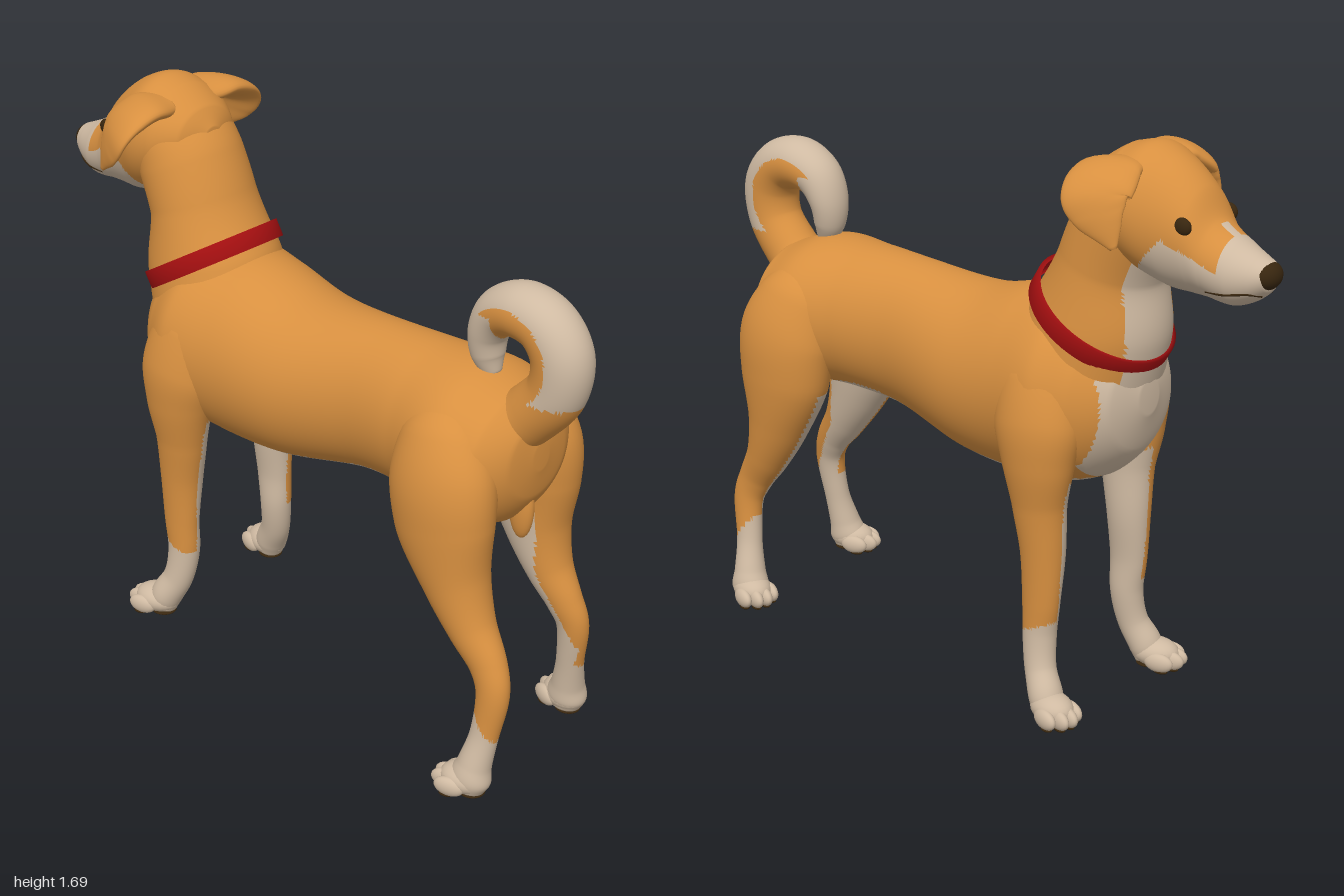
import * as THREE from 'three';

const mat = (name, color) => {
  const m = new THREE.MeshStandardMaterial({ color });
  m.name = name;
  return m;
};
const SIDEWAYS = new THREE.Vector3(1, 0, 0);
const FORWARD = new THREE.Vector3(0, 0, -1);

// Smooth closed body through elliptical sections [x, y, z, halfWidth, halfDepth].
// isSecond(point) picks the faces that take the second material; ref is the width direction;
// axis, if given, keeps every section square to it instead of to the path.
function loft(name, sections, materials, { isSecond, rings = 90, sides = 56, ref = SIDEWAYS, axis } = {}) {
  const path = new THREE.CatmullRomCurve3(sections.map(s => new THREE.Vector3(s[0], s[1], s[2])));
  const radii = new THREE.CatmullRomCurve3(sections.map(s => new THREE.Vector3(s[3], s[4], 0)));
  const pos = [];
  for (let i = 0; i <= rings; i++) {
    const t = i / rings;
    const c = path.getPoint(t), r = radii.getPoint(t), T = axis || path.getTangent(t);
    const U = ref.clone().addScaledVector(T, -ref.dot(T)).normalize();
    const V = T.clone().cross(U);
    for (let j = 0; j < sides; j++) {
      const a = (j / sides) * Math.PI * 2;
      const p = c.clone()
        .addScaledVector(U, Math.max(r.x, 0.002) * Math.cos(a))
        .addScaledVector(V, Math.max(r.y, 0.002) * Math.sin(a));
      pos.push(p.x, p.y, p.z);
    }
  }
  const first = path.getPoint(0), last = path.getPoint(1);
  pos.push(first.x, first.y, first.z, last.x, last.y, last.z);
  const startPole = (rings + 1) * sides, endPole = startPole + 1;
  const lists = [[], []];
  const face = (...ids) => {
    const p = new THREE.Vector3();
    for (const k of ids) p.add(new THREE.Vector3(pos[k * 3], pos[k * 3 + 1], pos[k * 3 + 2]));
    p.divideScalar(3);
    lists[isSecond && isSecond(p) ? 1 : 0].push(...ids);
  };
  for (let j = 0; j < sides; j++) {
    const k = (j + 1) % sides;
    face(startPole, k, j);
    for (let i = 0; i < rings; i++) {
      const a = i * sides + j, b = i * sides + k;
      face(a, b, a + sides);
      face(b, b + sides, a + sides);
    }
    face(endPole, rings * sides + j, rings * sides + k);
  }
  const geo = new THREE.BufferGeometry();
  geo.setAttribute('position', new THREE.Float32BufferAttribute(pos, 3));
  geo.setIndex([...lists[0], ...lists[1]]);
  geo.addGroup(0, lists[0].length, 0);
  geo.addGroup(lists[0].length, lists[1].length, 1);
  geo.computeVertexNormals();
  const mesh = new THREE.Mesh(geo, materials);
  mesh.name = name;
  return mesh;
}

function ellipsoid(name, material, x, y, z, rx, ry, rz) {
  const mesh = new THREE.Mesh(new THREE.SphereGeometry(1, 24, 16), material);
  mesh.name = name;
  mesh.position.set(x, y, z);
  mesh.scale.set(rx, ry, rz);
  return mesh;
}

export function createModel() {
  const tan = mat('tanFur', 0xd89040);
  const cream = mat('creamFur', 0xcfbaa2);
  const red = mat('collarRed', 0xa30f10);
  const dark = mat('darkBrown', 0x38260f);
  const fur = [tan, cream];
  const dog = new THREE.Group();
  dog.name = 'dog';

  // Torso with pale belly and chest
  dog.add(loft('torso', [
    [0, 0.98, 0.86, 0.03, 0.04], [0, 0.97, 0.845, 0.12, 0.12], [0, 0.955, 0.78, 0.215, 0.195],
    [0, 0.965, 0.65, 0.25, 0.225], [0, 0.965, 0.48, 0.205, 0.225], [0, 0.955, 0.3, 0.186, 0.228],
    [0, 0.915, 0, 0.237, 0.255], [0, 0.93, -0.2, 0.255, 0.285], [0, 0.945, -0.35, 0.275, 0.285],
    [0, 0.94, -0.47, 0.225, 0.235], [0, 0.945, -0.555, 0.14, 0.15], [0, 0.96, -0.588, 0.04, 0.05],
  ], fur, {
    isSecond: p => (p.z < 0.6 && p.y < 0.7 + 0.085 * Math.exp(-(((p.z - 0.42) / 0.25) ** 2)))
      || (p.z < -0.46 && Math.abs(p.x) < 0.16),
    rings: 120, sides: 72, axis: FORWARD,
  }));

  // Neck with pale throat
  dog.add(loft('neck', [
    [0, 0.86, -0.34, 0.18, 0.16], [0, 1.0, -0.365, 0.215, 0.215], [0, 1.165, -0.415, 0.195, 0.205],
    [0, 1.33, -0.455, 0.167, 0.152], [0, 1.45, -0.505, 0.163, 0.15], [0, 1.54, -0.55, 0.154, 0.125],
    [0, 1.61, -0.58, 0.1, 0.07],
  ], fur, { isSecond: p => p.z < -0.45 && Math.abs(p.x) < 0.105, rings: 80, sides: 72 }));

  // Head and muzzle
  dog.add(loft('head', [
    [0, 1.54, -0.405, 0.03, 0.03], [0, 1.535, -0.44, 0.11, 0.09], [0, 1.52, -0.52, 0.16, 0.155],
    [0, 1.51, -0.6, 0.168, 0.18], [0, 1.48, -0.68, 0.142, 0.178], [0, 1.445, -0.76, 0.118, 0.147],
    [0, 1.405, -0.81, 0.104, 0.108], [0, 1.38, -0.88, 0.09, 0.09], [0, 1.378, -0.94, 0.066, 0.063],
    [0, 1.385, -0.975, 0.045, 0.04], [0, 1.39, -0.985, 0.01, 0.01],
  ], fur, {
    isSecond: p => p.z < -0.865 || p.y < Math.min(1.3 - (p.z + 0.56) * 1.1, 1.46 + (p.z + 0.71) * 0.45)
      || (Math.abs(p.x) < 0.016 && p.z < -0.82),
    rings: 130, sides: 80, axis: FORWARD,
  }));
  dog.add(ellipsoid('nose', dark, 0, 1.388, -0.96, 0.05, 0.04, 0.04));

  // Collar band around the neck
  const band = new THREE.Mesh(new THREE.LatheGeometry([
    new THREE.Vector2(0.94, -0.027), new THREE.Vector2(1, -0.027),
    new THREE.Vector2(1, 0.027), new THREE.Vector2(0.94, 0.027),
  ], 64), red);
  red.side = THREE.DoubleSide;
  band.name = 'collar';
  band.scale.set(0.206, 1, 0.22);
  band.position.set(0, 1.165, -0.415);
  band.rotation.x = -0.556;
  dog.add(band);

  // Curled tail, pale on the outside and at the tip
  dog.add(loft('tail', [
    [0, 1.03, 0.74, 0.1, 0.09], [0, 1.11, 0.83, 0.085, 0.085], [0, 1.2, 0.9, 0.08, 0.085],
    [0, 1.3, 0.91, 0.082, 0.088], [0, 1.37, 0.86, 0.084, 0.083], [0, 1.39, 0.78, 0.084, 0.08],
    [0, 1.36, 0.7, 0.075, 0.068], [0, 1.29, 0.66, 0.065, 0.054], [0, 1.22, 0.66, 0.05, 0.046],
    [0, 1.17, 0.68, 0.025, 0.025], [0, 1.155, 0.69, 0.004, 0.004],
  ], fur, {
    isSecond: p => (p.y > 1.17 && Math.hypot(p.y - 1.28, p.z - 0.78) > 0.135) || (p.z < 0.72 && p.y < 1.37),
  }));

  dog.add(ellipsoid('underTail', tan, 0, 0.8, 0.8, 0.026, 0.1, 0.04));

  // Paw with four toes and dark pads, toes toward -z
  const paw = (name, x, z, turn) => {
    const g = new THREE.Group();
    g.name = name;
    g.position.set(x, 0, z);
    g.rotation.y = turn;
    g.add(ellipsoid('foot', cream, 0, 0.046, -0.01, 0.057, 0.044, 0.075));
    g.add(ellipsoid('heelPad', dark, 0, 0.006, 0.01, 0.038, 0.007, 0.04));
    for (let i = 0; i < 4; i++) {
      const dx = (i - 1.5) * 0.031, back = Math.abs(i - 1.5) > 1 ? 0.022 : 0;
      g.add(ellipsoid('toe', cream, dx, 0.033, -0.062 + back, 0.02, 0.03, 0.046));
      g.add(ellipsoid('toePad', dark, dx, 0.006, -0.07 + back, 0.014, 0.006, 0.022));
    }
    return g;
  };

  for (const s of [1, -1]) {
    const side = s > 0 ? 'left' : 'right';
    const put = list => list.map(([x, ...rest]) => [s * x, ...rest]);

    // Front leg, pale on the inside and below
    dog.add(loft(side + 'FrontLeg', put([
      [0.11, 1.12, -0.3, 0.05, 0.08], [0.16, 1.0, -0.33, 0.105, 0.13], [0.193, 0.88, -0.35, 0.105, 0.138],
      [0.205, 0.77, -0.358, 0.088, 0.115], [0.2, 0.64, -0.36, 0.07, 0.085], [0.195, 0.5, -0.37, 0.06, 0.07],
      [0.2, 0.35, -0.37, 0.047, 0.06], [0.2, 0.24, -0.365, 0.046, 0.052], [0.213, 0.14, -0.38, 0.044, 0.048],
      [0.23, 0.07, -0.415, 0.051, 0.05], [0.235, 0.03, -0.43, 0.045, 0.045],
    ]), fur, {
      isSecond: p => p.y < 0.27 - (p.z + 0.37) * 0.4 || (p.y < 0.72 && s * p.x < 0.195)
        || (p.y < 0.82 && s * p.x < 0.16),
      sides: 44,
    }));
    dog.add(paw(side + 'FrontPaw', s * 0.238, -0.438, -s * 0.25));

    // Hind leg, the right one set slightly further back
    const shift = y => (s < 0 ? 0.06 * THREE.MathUtils.clamp((0.85 - y) / 0.45, 0, 1) : 0);
    dog.add(loft(side + 'HindLeg', put([
      [0.09, 1.12, 0.63, 0.05, 0.07], [0.14, 1.02, 0.645, 0.11, 0.14], [0.18, 0.9, 0.67, 0.118, 0.168],
      [0.19, 0.77, 0.678, 0.109, 0.158], [0.192, 0.62, 0.708, 0.089, 0.105], [0.195, 0.5, 0.755, 0.069, 0.072],
      [0.2, 0.41, 0.81, 0.05, 0.058], [0.21, 0.34, 0.838, 0.042, 0.052], [0.225, 0.2, 0.828, 0.038, 0.043],
      [0.243, 0.1, 0.812, 0.048, 0.05], [0.25, 0.055, 0.805, 0.054, 0.062], [0.252, 0.02, 0.8, 0.045, 0.05],
    ]).map(([x, y, z, a, b]) => [x, y, z + shift(y), a, b]), fur, {
      isSecond: p => {
        const z = p.z - shift(p.y);
        return p.y < 0.24 - (z - 0.83) * 1.2
          || (p.y < 0.74 && s * p.x < 0.2 && z < 0.76 + Math.max(0, 0.5 - p.y) * 0.5);
      },
      sides: 44,
    }));
    dog.add(paw(side + 'HindPaw', s * 0.253, 0.8 + shift(0), -s * 0.3));

    // Folded ear: sloping out from the skull, then hanging forward, its rear edge flared outward
    dog.add(loft(side + 'Ear', put([
      [0.07, 1.625, -0.55, 0.07, 0.03], [0.14, 1.628, -0.55, 0.09, 0.032], [0.195, 1.605, -0.56, 0.098, 0.03],
      [0.23, 1.572, -0.57, 0.094, 0.022], [0.238, 1.53, -0.59, 0.074, 0.017],
      [0.236, 1.49, -0.612, 0.045, 0.013], [0.232, 1.445, -0.635, 0.01, 0.006],
    ]), fur, { rings: 40, sides: 32, ref: new THREE.Vector3(s * 0.45, 0, 1).normalize() }));

    // Eye and mouth line
    dog.add(ellipsoid(side + 'Eye', dark, s * 0.102, 1.502, -0.758, 0.016, 0.025, 0.029));
    const lip = new THREE.CatmullRomCurve3([[0.02, 1.335, -0.962], [0.054, 1.343, -0.94], [0.078, 1.335, -0.88], [0.076, 1.332, -0.82]]
      .map(([x, y, z]) => new THREE.Vector3(s * x, y, z)));
    const mouth = new THREE.Mesh(new THREE.TubeGeometry(lip, 24, 0.0035, 8), dark);
    mouth.name = side + 'Mouth';
    dog.add(mouth);
  }
  return dog;
}
